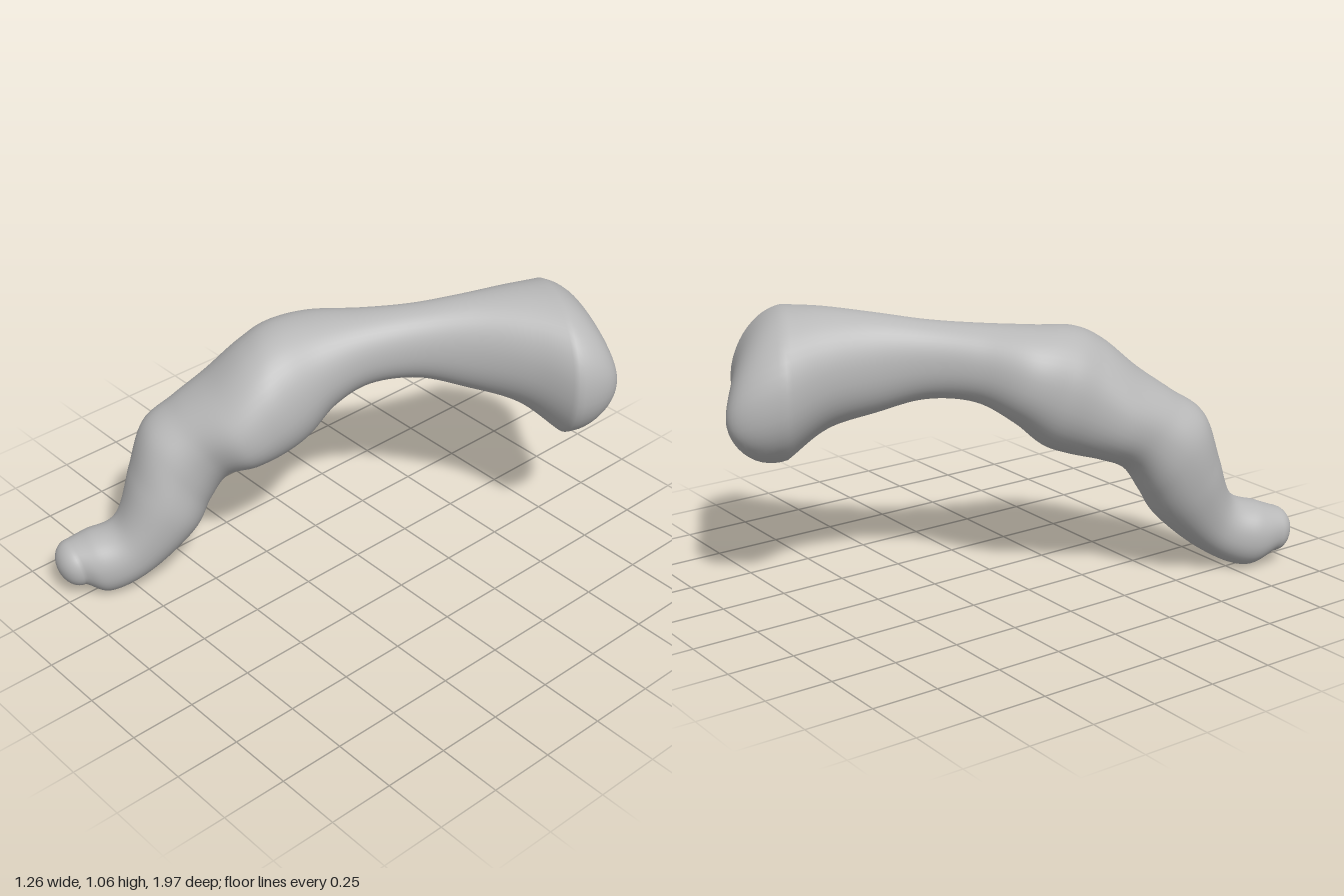
import * as THREE from 'three';

// Cross-sections from the narrow tip to the broad head:
// centre x, y, z, half width, half height, yaw (deg), pitch (deg)
const SECTIONS = [
  [-0.545, 0.135, 0.93, 0.093, 0.088, 12, 10],
  [-0.51, 0.125, 0.85, 0.122, 0.125, 22, 15],
  [-0.45, 0.18, 0.73, 0.13, 0.122, 25, 27],
  [-0.42, 0.345, 0.605, 0.175, 0.165, 22, 42],
  [-0.415, 0.485, 0.53, 0.185, 0.19, 24, 37],
  [-0.375, 0.58, 0.445, 0.195, 0.168, 27, 34],
  [-0.31, 0.645, 0.35, 0.235, 0.182, 27, 26],
  [-0.262, 0.715, 0.24, 0.23, 0.218, 27, 18],
  [-0.235, 0.765, 0.135, 0.217, 0.222, 28, 17],
  [-0.195, 0.82, 0.01, 0.187, 0.177, 30, 14],
  [-0.1, 0.86, -0.12, 0.132, 0.142, 32, 6],
  [0.01, 0.872, -0.27, 0.113, 0.144, 30, 2],
  [0.12, 0.86, -0.42, 0.138, 0.182, 28, 0],
  [0.23, 0.84, -0.565, 0.21, 0.22, 26, 0],
  [0.32, 0.785, -0.68, 0.308, 0.275, 27, 0],
];
const SIDES = 48, RINGS = 112, CAP_RINGS = 14, SQUARENESS = 2.15;

// Smooth curve through three columns of the section list
const track = (a, b, c) => new THREE.CatmullRomCurve3(
  SECTIONS.map((s) => new THREE.Vector3(s[a], s[b], s[c])), false, 'catmullrom', 0.5);

// Caps: u runs -1 to 1 across the section, rise is 0 at the rim and 1 at the pole.
// The tip is a plain dome; the head is blunt, with two lobes and a shallow valley.
const TIP = { blunt: 1, depth: () => 0.07, drop: () => 0 };
const HEAD = { blunt: 0.4, depth: (u) => -0.19 + 0.025 * u - 0.05 * u * u, drop: (u) => 0.05 - 0.05 * u };

// Ring stations: t along the body, cap style, ring scale and rise within the cap
function ringStations() {
  const cap = (t, style) => Array.from({ length: CAP_RINGS }, (_, k) => {
    const a = (k / CAP_RINGS) * Math.PI / 2;
    return { t, style, scale: Math.sin(a), rise: Math.cos(a) };
  });
  const middle = Array.from({ length: RINGS + 1 }, (_, i) => ({ t: i / RINGS, style: TIP, scale: 1, rise: 0 }));
  return [...cap(0, TIP), ...middle, ...cap(1, HEAD).reverse()];
}

function bodyGeometry() {
  const centres = track(0, 1, 2), shapes = track(3, 4, 5), pitches = track(6, 6, 6);
  const bend = (v) => Math.sign(v) * Math.abs(v) ** (2 / SQUARENESS);
  const positions = [], index = [];
  const stations = ringStations();
  stations.forEach(({ t, style, scale, rise }, i) => {
    const centre = centres.getPoint(t), shape = shapes.getPoint(t);
    const yaw = THREE.MathUtils.degToRad(shape.z);
    const pitch = THREE.MathUtils.degToRad(pitches.getPoint(t).x);
    const across = new THREE.Vector3(Math.cos(yaw), 0, Math.sin(yaw));
    const up = new THREE.Vector3(-Math.sin(pitch) * Math.sin(yaw), Math.cos(pitch), Math.sin(pitch) * Math.cos(yaw));
    const normal = across.clone().cross(up);
    for (let j = 0; j < SIDES; j++) {
      const a = (j / SIDES) * Math.PI * 2;
      const u = bend(Math.cos(a)) * scale ** style.blunt;
      const v = bend(Math.sin(a)) * scale;
      const p = centre.clone()
        .addScaledVector(across, shape.x * u)
        .addScaledVector(up, shape.y * v - style.drop(u) * rise)
        .addScaledVector(normal, style.depth(u) * rise);
      positions.push(p.x, p.y, p.z);
      if (i < stations.length - 1) {
        const k = (j + 1) % SIDES, n = i * SIDES, m = n + SIDES;
        index.push(n + j, m + j, n + k, n + k, m + j, m + k);
      }
    }
  });
  const geometry = new THREE.BufferGeometry();
  geometry.setAttribute('position', new THREE.Float32BufferAttribute(positions, 3));
  geometry.setIndex(index);
  geometry.computeVertexNormals();
  return geometry;
}

export function createModel() {
  const group = new THREE.Group();
  group.name = 'curvedBone';
  const grey = new THREE.MeshStandardMaterial({ color: 0xb8b8b8 });
  grey.name = 'grey';

  // One continuous curved body: tip, swollen middle, slim neck and two-lobed head
  const body = new THREE.Mesh(bodyGeometry(), grey);
  body.name = 'body';
  group.add(body);
  return group;
}
